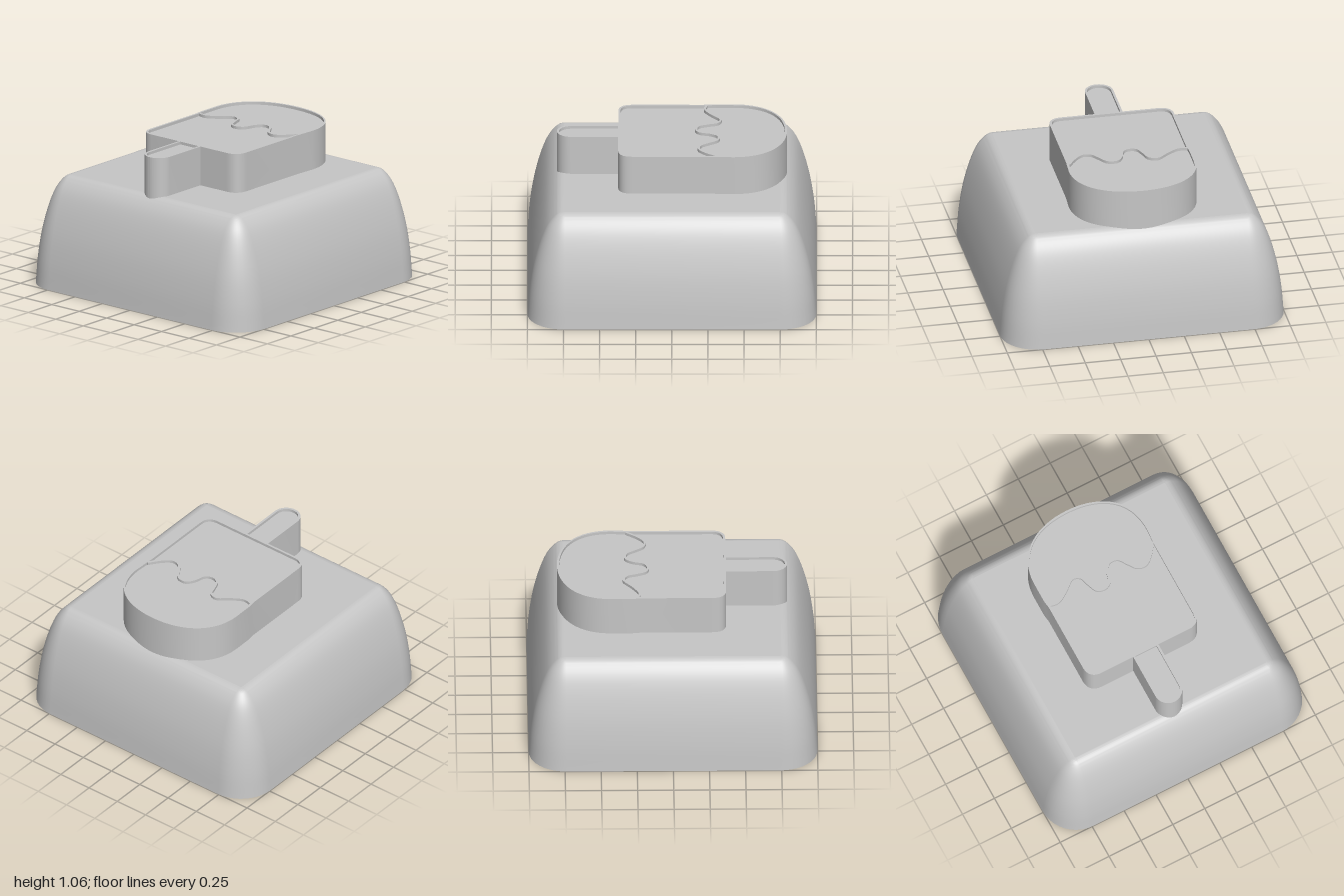
import * as THREE from 'three';
import { toCreasedNormals } from 'three/addons/utils/BufferGeometryUtils.js';

const grey = new THREE.MeshStandardMaterial({ color: 0xc6c6c6, side: THREE.DoubleSide });
grey.name = 'plain grey';

function addMesh(group, name, geometry) {
  const mesh = new THREE.Mesh(geometry, grey);
  mesh.name = name;
  group.add(mesh);
}

// Upright prism from a plan shape (shape y points to the back)
function prism(shape, y0, y1) {
  const g = new THREE.ExtrudeGeometry(shape, { depth: y1 - y0, bevelEnabled: false, curveSegments: 24 });
  g.rotateX(-Math.PI / 2).translate(0, y0, 0);
  return toCreasedNormals(g, 0.5);
}

// Points of a square with rounded corners, as seen from above
function roundedSquare(half, radius, steps = 10) {
  const pts = [];
  for (let k = 0; k < 4; k++) {
    const mid = Math.PI / 4 + k * Math.PI / 2;
    for (let s = 0; s <= steps; s++) {
      const t = mid + (s / steps - 0.5) * Math.PI / 2;
      pts.push(new THREE.Vector2(
        Math.sign(Math.cos(mid)) * (half - radius) + radius * Math.cos(t),
        Math.sign(Math.sin(mid)) * (half - radius) + radius * Math.sin(t)));
    }
  }
  return pts;
}

// Domed sides: rounded squares stacked along a curve
function sidesGeometry() {
  const curve = new THREE.CatmullRomCurve3([
    [1, 0], [0.984, 0.2], [0.952, 0.4], [0.896, 0.6], [0.85, 0.7], [0.8, 0.76], [0.775, 0.775], [0.75, 0.78],
  ].map(([h, y]) => new THREE.Vector3(h, y, 0)));
  const levels = curve.getPoints(35);
  const pos = [], idx = [];
  let n = 0;
  for (const l of levels) {
    const ring = roundedSquare(l.x, l.x - 0.74);
    n = ring.length;
    for (const p of ring) pos.push(p.x, l.y, p.y);
  }
  for (let j = 0; j < levels.length - 1; j++) {
    for (let i = 0; i < n; i++) {
      const a = j * n + i, b = j * n + (i + 1) % n;
      idx.push(a, a + n, b, b, a + n, b + n);
    }
  }
  const g = new THREE.BufferGeometry();
  g.setAttribute('position', new THREE.Float32BufferAttribute(pos, 3));
  g.setIndex(idx);
  return toCreasedNormals(g, 0.6);
}

// Arched ice block outline, shrunk by an inset
function iceOutline(inset, Type = THREE.Shape) {
  const w = 0.447 - inset, b = 0.439 - inset, top = 0.797 - inset, low = -0.372 + inset, r = 0.1 - inset;
  const s = new Type();
  s.moveTo(-b + r, low);
  s.lineTo(b - r, low);
  s.quadraticCurveTo(b, low, b, low + r);
  s.lineTo(b, 0.28);
  s.lineTo(w, 0.42);
  s.bezierCurveTo(w, 0.66, 0.26, top, 0, top);
  s.bezierCurveTo(-0.26, top, -w, 0.66, -w, 0.42);
  s.lineTo(-w, 0.28);
  s.lineTo(-b, 0.22);
  s.lineTo(-b, low + r);
  s.quadraticCurveTo(-b, low, -b + r, low);
  return s;
}

// Stick outline with a round end, starting inside the ice rim
function stickOutline(inset, Type = THREE.Shape) {
  const r = 0.099 - inset, x = 0.005, start = -0.357 - inset, end = -0.698;
  const s = new Type();
  s.moveTo(x + r, start);
  s.lineTo(x - r, start);
  s.lineTo(x - r, end);
  s.absarc(x, end, r, Math.PI, Math.PI * 2, false);
  s.lineTo(x + r, start);
  return s;
}

// Thin ridge that follows the melting edge of the glaze
function dripShape() {
  const line = new THREE.SplineCurve([
    [-0.428, 0.238], [-0.36, 0.23], [-0.28, 0.275], [-0.2, 0.335], [-0.14, 0.315], [-0.115, 0.25],
    [-0.085, 0.185], [-0.03, 0.167], [0.02, 0.195], [0.045, 0.27], [0.085, 0.32], [0.15, 0.315],
    [0.2, 0.25], [0.24, 0.2], [0.3, 0.187], [0.36, 0.23], [0.425, 0.315],
  ].map(p => new THREE.Vector2(...p)));
  const left = [], right = [];
  for (let i = 0; i <= 100; i++) {
    const p = line.getPoint(i / 100), t = line.getTangent(i / 100);
    left.push(new THREE.Vector2(p.x - t.y * 0.008, p.y + t.x * 0.008));
    right.unshift(new THREE.Vector2(p.x + t.y * 0.008, p.y - t.x * 0.008));
  }
  return new THREE.Shape([...left, ...right]);
}

// Round post with a cross-shaped socket
function stemShape() {
  const s = new THREE.Shape();
  s.absarc(0, 0, 0.31, 0, Math.PI * 2, false);
  const a = 0.25, b = 0.08;
  const cross = [];
  for (let k = 0; k < 4; k++) {
    for (const [x, y] of [[a, -b], [a, b], [b, b]]) {
      cross.push(new THREE.Vector2(x, y).rotateAround(new THREE.Vector2(), k * Math.PI / 2));
    }
  }
  s.holes.push(new THREE.Path(cross));
  return s;
}

export function createModel() {
  const model = new THREE.Group();
  model.name = 'keycap';

  // Cap
  addMesh(model, 'outerSides', sidesGeometry());
  const deck = new THREE.ShapeGeometry(new THREE.Shape(roundedSquare(0.75, 0.01)));
  addMesh(model, 'topDeck', deck.rotateX(-Math.PI / 2).translate(0, 0.78, 0));

  const rim = new THREE.Shape(roundedSquare(1, 0.26));
  rim.holes.push(new THREE.Path(roundedSquare(0.83, 0, 1)));
  addMesh(model, 'bottomRim', new THREE.ShapeGeometry(rim).rotateX(Math.PI / 2));

  // Tapered square cavity, listed from the top down so it faces inward
  const d = Math.SQRT2, ceiling = 0.45;
  const cavity = new THREE.LatheGeometry(
    [[0, ceiling], [0.57 * d, ceiling], [0.83 * d, 0]].map(p => new THREE.Vector2(...p)), 4, Math.PI / 4).toNonIndexed();
  cavity.computeVertexNormals();
  addMesh(model, 'innerCavity', cavity);

  // Mount
  addMesh(model, 'stem', prism(stemShape(), 0, ceiling + 0.01));
  addMesh(model, 'socketFloor', new THREE.CircleGeometry(0.3, 32).rotateX(Math.PI / 2).translate(0, 0.42, 0));

  // Ice lolly on the deck: raised rims around slightly sunken faces
  const lolly = new THREE.Group();
  lolly.name = 'iceLolly';
  model.add(lolly);
  const base = 0.65, top = 1.06, face = 1.04, edge = 0.016;
  for (const [name, outline] of [['ice', iceOutline], ['stick', stickOutline]]) {
    const border = outline(0);
    border.holes.push(outline(edge, THREE.Path));
    addMesh(lolly, name + 'Rim', prism(border, base, top));
    addMesh(lolly, name + 'Face', prism(outline(edge), base, face));
  }
  addMesh(lolly, 'glazeDripRidge', prism(dripShape(), face - 0.02, top));
  return model;
}
